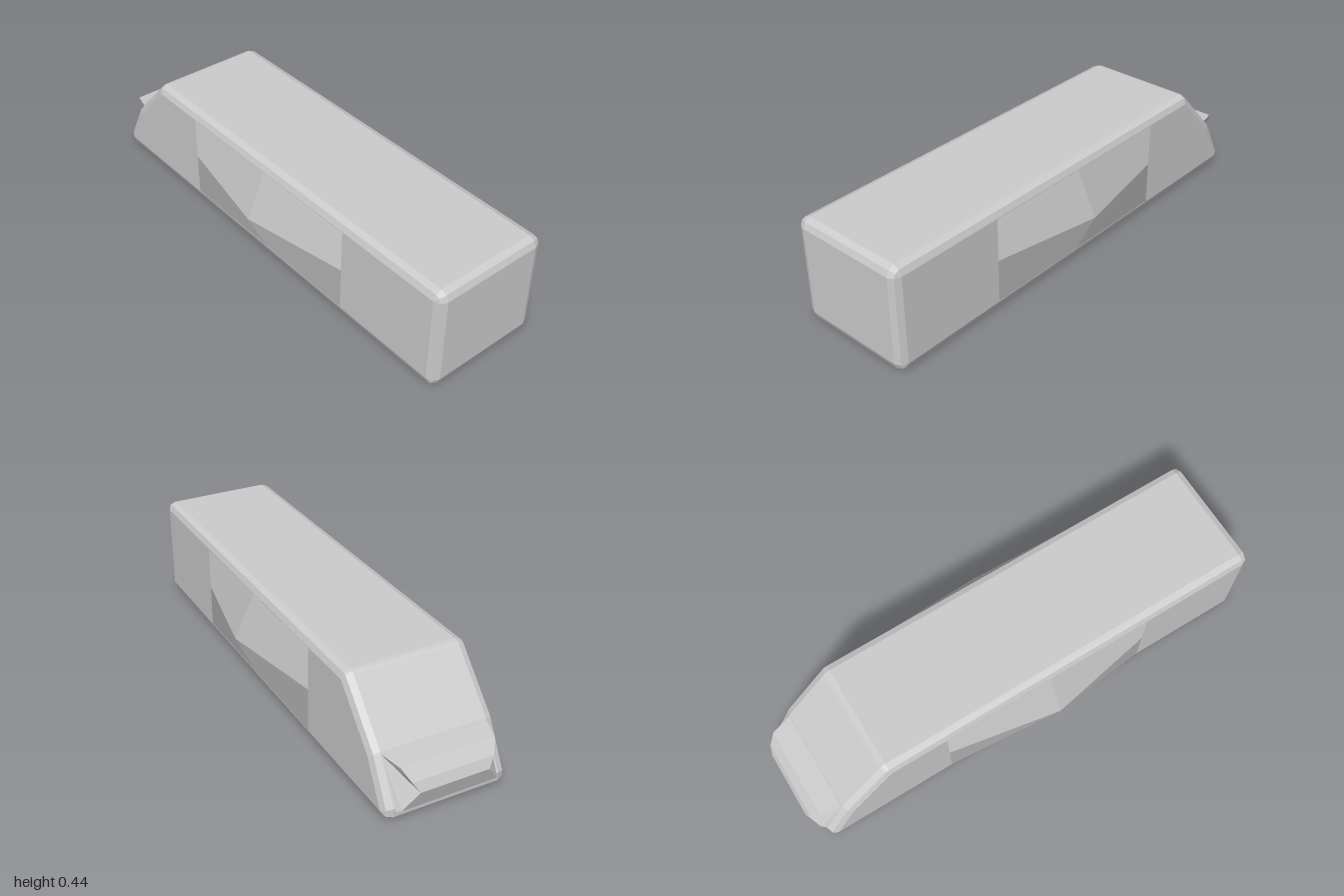
import * as THREE from 'three';

const material = new THREE.MeshStandardMaterial({ color: 0xcccccc, side: THREE.DoubleSide });

// Builds a faceted mesh from polygons; each polygon is a fan with one shared normal
function facetMesh(name, polygons) {
  const pos = [], nor = [];
  for (const poly of polygons) {
    const n = new THREE.Vector3();
    poly.forEach((p, i) => n.add(new THREE.Vector3().crossVectors(p, poly[(i + 1) % poly.length])));
    if (n.length() < 1e-9) continue;
    n.normalize();
    for (let i = 1; i < poly.length - 1; i++) {
      for (const p of [poly[0], poly[i], poly[i + 1]]) {
        pos.push(p.x, p.y, p.z);
        nor.push(n.x, n.y, n.z);
      }
    }
  }
  const g = new THREE.BufferGeometry();
  g.setAttribute('position', new THREE.Float32BufferAttribute(pos, 3));
  g.setAttribute('normal', new THREE.Float32BufferAttribute(nor, 3));
  const mesh = new THREE.Mesh(g, material);
  mesh.name = name;
  return mesh;
}

const v = (x, y, z) => new THREE.Vector3(x, y, z);

// Long block with a slanted, kinked rear and two-step bevels on every edge
function makeBody() {
  const r = 0.035, halfCore = 0.215;
  // side profile inside the bevel, as (z, y)
  const core = [[0.965, 0.035], [0.965, 0.403], [-0.645, 0.403], [-0.832, 0.205], [-0.925, 0.035]]
    .map(([z, y]) => new THREE.Vector2(z, y));
  const count = core.length;
  const edgeNormal = i => {
    const e = core[(i + 1) % count].clone().sub(core[i % count]).normalize();
    return new THREE.Vector2(e.y, -e.x);
  };
  const ring = (x, offset) => core.flatMap((c, i) => {
    const n1 = edgeNormal(i + count - 1), n2 = edgeNormal(i);
    return [n1, n1.clone().add(n2).normalize(), n2]
      .map(d => v(x, c.y + d.y * offset, c.x + d.x * offset));
  });
  const rings = [];
  for (const s of [-1, 1]) {
    for (let k = 0; k < 3; k++) {
      const t = (s < 0 ? k : 2 - k) * Math.PI / 4;
      rings.push(ring(s * (halfCore + r * Math.cos(t)), r * Math.sin(t)));
    }
  }
  const polys = [];
  for (let j = 0; j < rings.length - 1; j++) {
    const a = rings[j], b = rings[j + 1];
    a.forEach((p, i) => {
      const k = (i + 1) % a.length;
      polys.push([p, b[i], b[k], a[k]]);
    });
  }
  // flat side faces
  const outline = x => core.map(c => v(x, c.y, c.x));
  polys.push(outline(-halfCore - r), outline(halfCore + r).reverse());
  return facetMesh('body', polys);
}

// Shallow pyramid on each flank
function makeSideBulge(s, name) {
  const base = s * 0.25, zm = 0.06, ym = 0.22;
  const apex = v(s * 0.335, ym, zm);
  const polys = [];
  for (const z of [0.51, -0.4]) {
    for (const y of [0.04, 0.4]) {
      const quad = [v(base, y, z), v(base, y, zm), apex, v(base, ym, z)];
      if (-(zm - z) * (ym - y) * s < 0) quad.reverse().unshift(quad.pop());
      polys.push(quad);
    }
  }
  return facetMesh(name, polys);
}

// Faceted bumper that projects from the lower rear slope
function makeRearBumper() {
  // rows of (z, y, half width) from the upper root to the lower root
  const rows = [
    [-0.86, 0.22, 0.215], [-0.95, 0.21, 0.19], [-0.985, 0.165, 0.165],
    [-1, 0.125, 0.14], [-0.975, 0.05, 0.195], [-0.95, 0.035, 0.215],
  ];
  const L = rows.map(([z, y, w]) => v(-w, y, z));
  const R = rows.map(([z, y, w]) => v(w, y, z));
  const polys = [];
  for (let i = 0; i < rows.length - 1; i++) {
    polys.push([L[i], R[i], R[i + 1], L[i + 1]]);
  }
  // end facets fan out from the upper root corners
  for (let i = 1; i < rows.length - 1; i++) {
    polys.push([L[0], L[i], L[i + 1]], [R[0], R[i + 1], R[i]]);
  }
  return facetMesh('rearBumper', polys);
}

export function createModel() {
  const model = new THREE.Group();
  model.name = 'slantedBlock';
  model.add(
    makeBody(),
    makeSideBulge(1, 'leftSideBulge'),
    makeSideBulge(-1, 'rightSideBulge'),
    makeRearBumper(),
  );
  return model;
}
